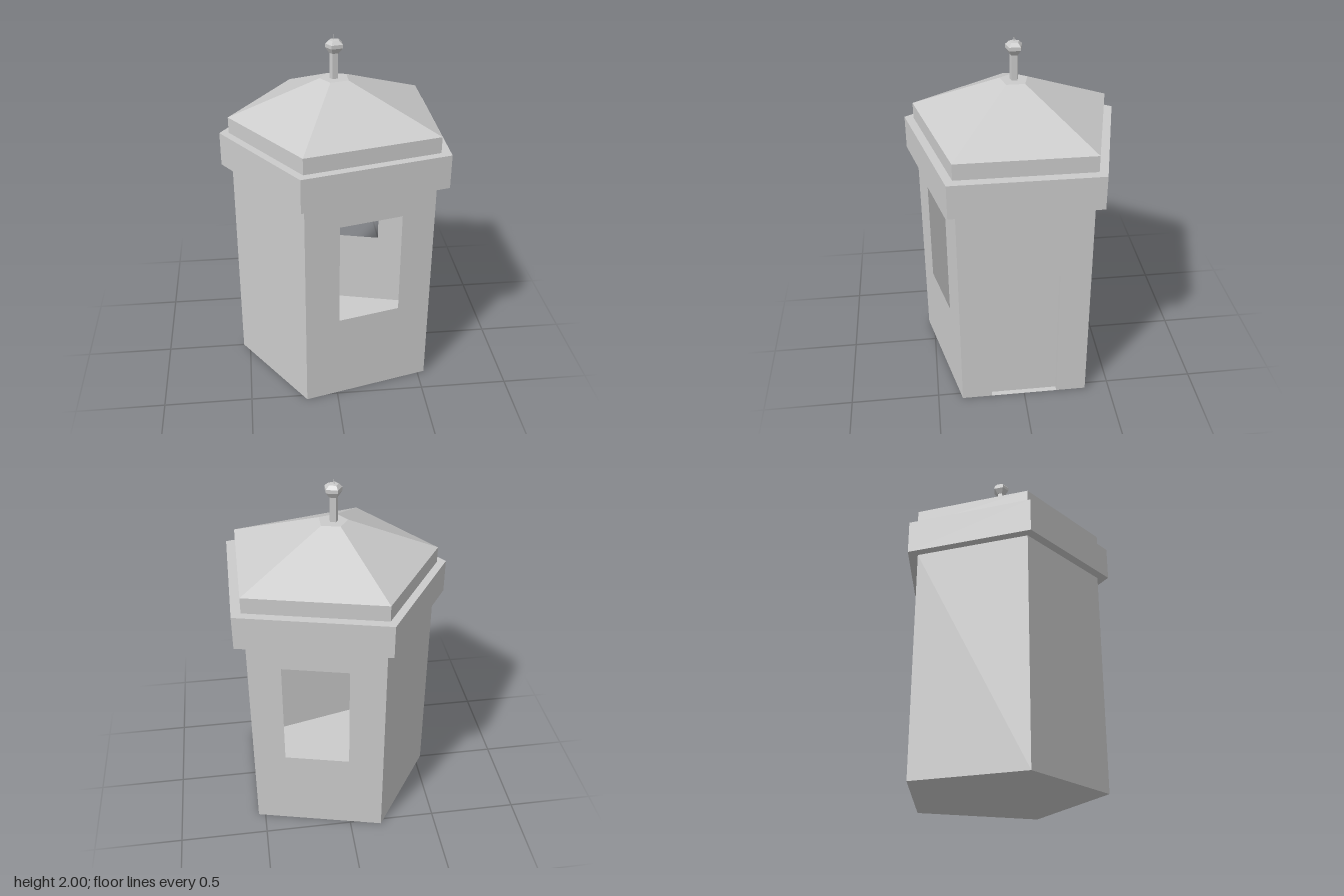
import * as THREE from 'three';

const mat = new THREE.MeshStandardMaterial({ color: 0xcccccc, flatShading: true, side: THREE.DoubleSide });

// Five-sided plan, counter-clockwise seen from above: [x, z]
const PLAN = [[-0.6, 0], [-0.2, 0.594], [0.6, 0.4], [0.6, -0.4], [-0.2, -0.594]];
const BODY = 0.9, EAVE_Y = 1.28, POLE_X = 0.025;

// Skin a stack of scaled plans; each ring is [scale, y, xShift]
function loft(name, rings) {
  const pos = [];
  const at = ([s, y, dx = 0], i) => [PLAN[i % 5][0] * s + dx, y, PLAN[i % 5][1] * s];
  for (let r = 0; r < rings.length - 1; r++) {
    const lo = rings[r], hi = rings[r + 1];
    for (let i = 0; i < 5; i++) {
      if (lo[0] > 0) pos.push(...at(lo, i), ...at(lo, i + 1), ...at(hi, i + 1));
      if (hi[0] > 0) pos.push(...at(lo, i), ...at(hi, i + 1), ...at(hi, i));
    }
  }
  const geo = new THREE.BufferGeometry();
  geo.setAttribute('position', new THREE.Float32BufferAttribute(pos, 3));
  geo.computeVertexNormals();
  return named(name, geo);
}

function named(name, geo) {
  const mesh = new THREE.Mesh(geo, mat);
  mesh.name = name;
  return mesh;
}

// Thin wall between plan corners i and i + 1, local x along the wall, z outward
function wall(name, i, { window: win, door } = {}) {
  const [ax, az] = PLAN[i].map(v => v * BODY);
  const [bx, bz] = PLAN[(i + 1) % 5].map(v => v * BODY);
  const len = Math.hypot(bx - ax, bz - az);
  const group = new THREE.Group();
  group.name = name;
  group.position.set(ax, 0, az);
  group.rotation.y = Math.atan2(az - bz, bx - ax);

  const shape = new THREE.Shape().moveTo(0, 0);
  if (door) {
    const l = len / 2 - door.w / 2, r = len / 2 + door.w / 2;
    shape.lineTo(l, 0).lineTo(l, door.h).lineTo(r, door.h).lineTo(r, 0);
    // Recessed door panel, jambs and lintel
    const panel = named('doorPanel', new THREE.PlaneGeometry(door.w, door.h));
    panel.position.set(len / 2, door.h / 2, -door.d);
    group.add(panel);
    for (const side of [-1, 1]) {
      const jamb = named('doorJamb', new THREE.PlaneGeometry(door.d, door.h));
      jamb.rotation.y = -side * Math.PI / 2;
      jamb.position.set(len / 2 + side * door.w / 2, door.h / 2, -door.d / 2);
      group.add(jamb);
    }
    const lintel = named('doorLintel', new THREE.PlaneGeometry(door.w, door.d));
    lintel.rotation.x = Math.PI / 2;
    lintel.position.set(len / 2, door.h, -door.d / 2);
    group.add(lintel);
  }
  shape.lineTo(len, 0).lineTo(len, EAVE_Y).lineTo(0, EAVE_Y).closePath();
  if (win) {
    const [u0, u1, y0, y1] = [win[0] * len, win[1] * len, win[2], win[3]];
    shape.holes.push(new THREE.Path().moveTo(u0, y0).lineTo(u0, y1).lineTo(u1, y1).lineTo(u1, y0).closePath());
  }
  group.add(named('wallPanel', new THREE.ShapeGeometry(shape)));
  return group;
}

export function createModel() {
  const model = new THREE.Group();
  model.name = 'booth';

  // Floor and the five walls
  model.add(loft('floor', [[0, 0], [BODY, 0]]));
  model.add(wall('frontRightWall', 0));
  model.add(wall('frontWindowWall', 1, { window: [0.262, 0.742, 0.52, 1.125] }));
  model.add(wall('doorWall', 2, { door: { w: 0.38, h: 0.84, d: 0.03 } }));
  model.add(wall('backWindowWall', 3, { window: [0.245, 0.737, 0.49, 1.125] }));
  model.add(wall('backRightWall', 4));

  // Hollow eave band, upper step and hipped roof
  model.add(loft('eaveBand', [[BODY, EAVE_Y], [1, EAVE_Y], [1, 1.47], [0.915, 1.47]]));
  model.add(loft('roof', [[0.915, 1.47], [0.915, 1.56], [0.125, 1.765, POLE_X], [0, 1.765, POLE_X]]));

  // Finial: pole, faceted knob and thin spike
  model.add(loft('finialPole', [[0.037, 1.76, POLE_X], [0.037, 1.91, POLE_X]]));
  model.add(loft('finialKnob', [
    [0, 1.905, POLE_X], [0.042, 1.905, POLE_X], [0.075, 1.935, POLE_X],
    [0.075, 1.955, POLE_X], [0.045, 1.973, POLE_X], [0, 1.975, POLE_X],
  ]));
  model.add(loft('finialSpike', [[0.004, 1.97, POLE_X], [0.002, 2, POLE_X], [0, 2, POLE_X]]));
  return model;
}
